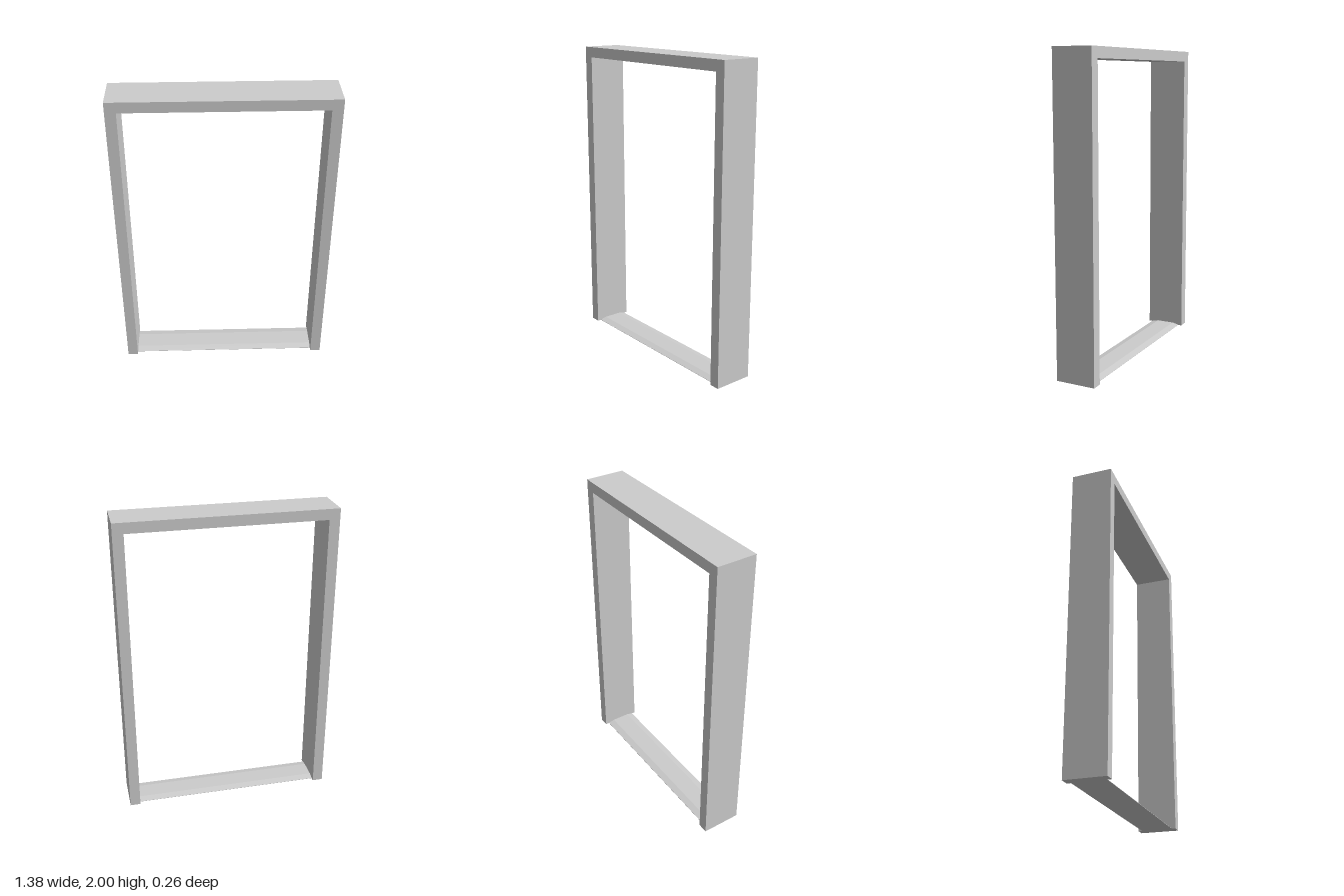
import * as THREE from 'three';

const material = new THREE.MeshStandardMaterial({ color: 0xcccccc });

// Extrude an outline, centred along its depth
function extrude(name, points, depth) {
  const shape = new THREE.Shape(points.map(([x, y]) => new THREE.Vector2(x, y)));
  const geometry = new THREE.ExtrudeGeometry(shape, { depth, bevelEnabled: false });
  geometry.translate(0, 0, -depth / 2);
  const mesh = new THREE.Mesh(geometry, material);
  mesh.name = name;
  return mesh;
}

export function createModel() {
  const group = new THREE.Group();
  group.name = 'doorFrame';

  const outer = 0.69, inner = 0.622, height = 2, headBottom = 1.932, depth = 0.26;

  // Two jambs and the head in one piece
  group.add(extrude('jambsAndHead', [
    [-outer, 0], [-inner, 0], [-inner, headBottom], [inner, headBottom],
    [inner, 0], [outer, 0], [outer, height], [-outer, height],
  ], depth));

  // Low threshold with sloping front and back edges
  const threshold = extrude('threshold', [
    [-0.105, 0], [0.105, 0], [0.105, 0.002], [0.06, 0.012], [-0.06, 0.012], [-0.105, 0.002],
  ], inner * 2);
  threshold.rotation.y = Math.PI / 2;
  group.add(threshold);

  return group;
}
